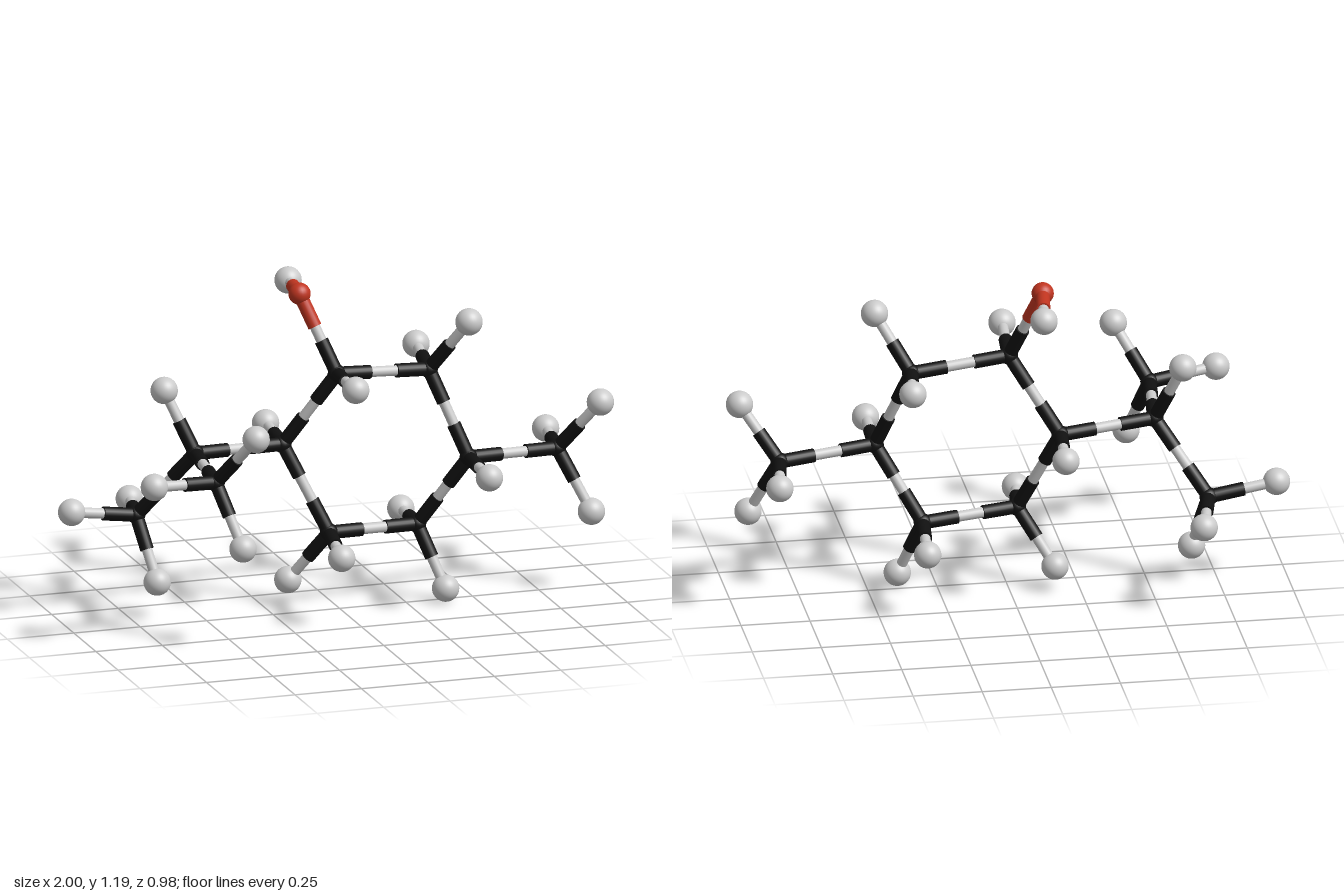
import * as THREE from 'three';

const STICK_R = 0.019, SLEEVE_R = 0.025, SLEEVE_LEN = 0.13;

const grey = new THREE.MeshStandardMaterial({ color: 0xcccccc });
const black = new THREE.MeshStandardMaterial({ color: 0x111111 });
const red = new THREE.MeshStandardMaterial({ color: 0xc03520 });

// Heavy atoms, each with the hydrogens attached to it
const atoms = {
  ring1: { at: [-0.01, 0.88, 0], h: [[-0.03, 0.895, 0.273]] },
  ring2: { at: [0.35, 0.853, -0.043], h: [[0.465, 1.047, 0.066], [0.385, 0.875, -0.293]] },
  ring3: { at: [0.465, 0.543, 0.063], h: [[0.455, 0.54, 0.327]] },
  ring4: { at: [0.31, 0.278, -0.055], h: [[0.388, 0.055, 0.033], [0.335, 0.261, -0.315]] },
  ring5: { at: [-0.04, 0.293, 0.003], h: [[-0.16, 0.099, -0.105], [-0.075, 0.268, 0.25]] },
  ring6: { at: [-0.18, 0.605, -0.105], h: [[-0.157, 0.61, -0.365]] },
  branch: { at: [-0.53, 0.62, -0.04], h: [[-0.62, 0.84, -0.12]] },
  branchFront: { at: [-0.57, 0.613, 0.313], h: [[-0.82, 0.633, 0.37], [-0.46, 0.797, 0.44], [-0.503, 0.389, 0.42]] },
  branchBack: { at: [-0.702, 0.366, -0.19], h: [[-0.95, 0.402, -0.175], [-0.645, 0.352, -0.44], [-0.657, 0.14, -0.088]] },
  sideTip: { at: [0.82, 0.527, -0.005], h: [[0.948, 0.714, 0.1], [0.92, 0.306, 0.083], [0.86, 0.528, -0.255]] },
  oxygen: { at: [-0.115, 1.157, -0.108], h: [[-0.083, 1.143, -0.333]], red: true },
};

const bonds = [
  ['ring1', 'ring2'], ['ring2', 'ring3'], ['ring3', 'ring4'], ['ring4', 'ring5'],
  ['ring5', 'ring6'], ['ring6', 'ring1'], ['ring1', 'oxygen'], ['ring3', 'sideTip'],
  ['ring6', 'branch'], ['branch', 'branchFront'], ['branch', 'branchBack'],
];

const hydrogenGeo = new THREE.SphereGeometry(0.049, 32, 20);
const carbonGeo = new THREE.SphereGeometry(0.033, 24, 16);
const oxygenGeo = new THREE.SphereGeometry(0.04, 24, 16);

export function createModel() {
  const model = new THREE.Group();
  model.name = 'ballAndStickMolecule';

  const ball = (name, geo, mat, p) => {
    const m = new THREE.Mesh(geo, mat);
    m.name = name;
    m.position.copy(p);
    model.add(m);
  };

  // Cylinder running from a to b
  const rod = (name, a, b, r, mat) => {
    const dir = b.clone().sub(a);
    const m = new THREE.Mesh(new THREE.CylinderGeometry(r, r, dir.length(), 20), mat);
    m.name = name;
    m.position.copy(a).add(b).multiplyScalar(0.5);
    m.quaternion.setFromUnitVectors(new THREE.Vector3(0, 1, 0), dir.normalize());
    model.add(m);
  };

  // Thicker coloured socket around the start of a bond
  const sleeve = (a, b, mat) => {
    const end = b.clone().sub(a).setLength(SLEEVE_LEN).add(a);
    rod('bondSleeve', a, end, SLEEVE_R, mat);
  };

  // Atoms and their hydrogen arms
  for (const [name, atom] of Object.entries(atoms)) {
    const p = new THREE.Vector3(...atom.at);
    const mat = atom.red ? red : black;
    ball(name + 'Atom', atom.red ? oxygenGeo : carbonGeo, mat, p);
    for (const h of atom.h) {
      const q = new THREE.Vector3(...h);
      ball('hydrogenAtom', hydrogenGeo, grey, q);
      rod('hydrogenBond', p, q, STICK_R, grey);
      sleeve(p, q, mat);
    }
  }

  // Bonds of the ring and its branches, sleeved at both ends
  for (const [from, to] of bonds) {
    const a = new THREE.Vector3(...atoms[from].at);
    const b = new THREE.Vector3(...atoms[to].at);
    rod('bond', a, b, STICK_R, grey);
    sleeve(a, b, atoms[from].red ? red : black);
    sleeve(b, a, atoms[to].red ? red : black);
  }
  return model;
}
